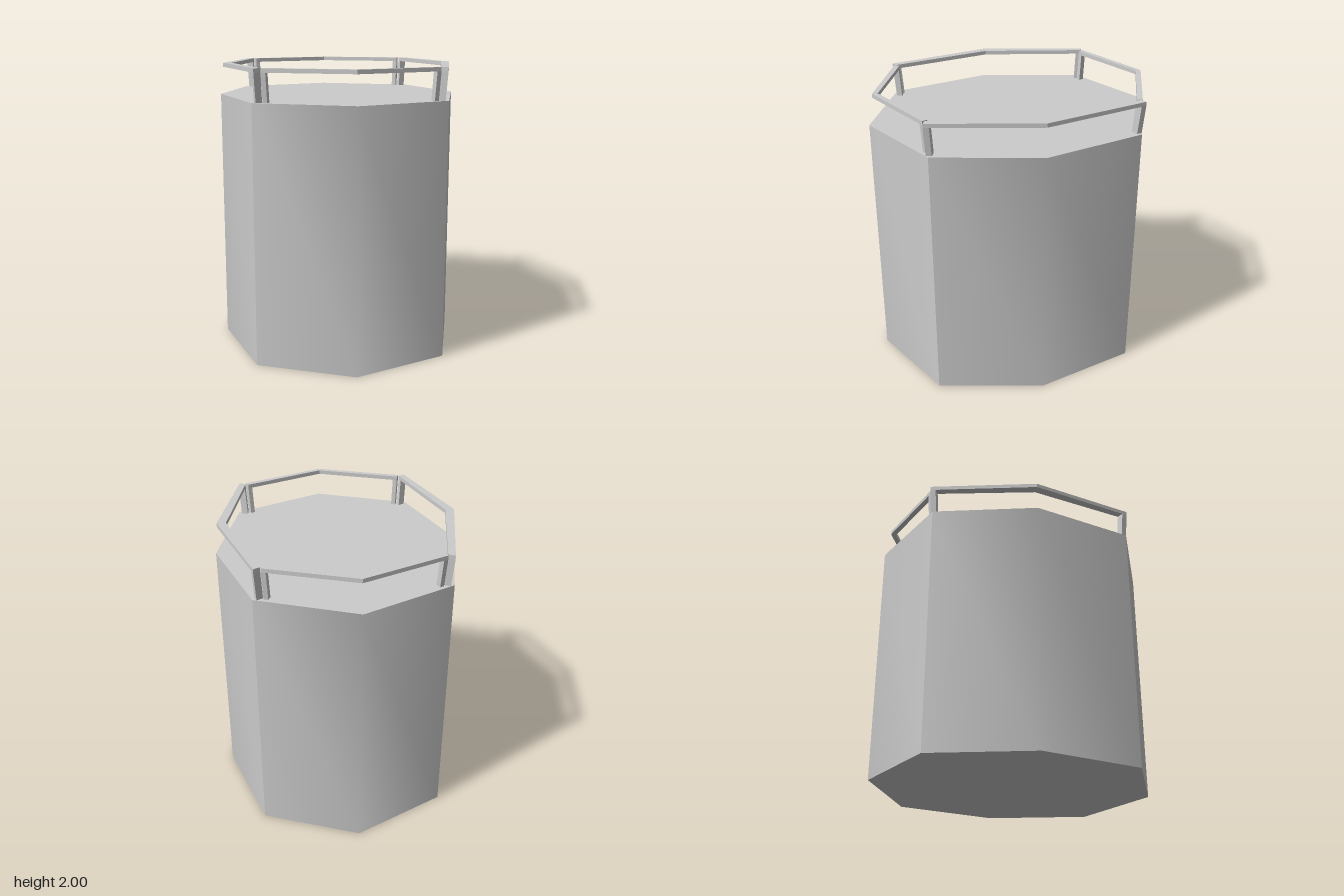
import * as THREE from 'three';
import { toCreasedNormals } from 'three/addons/utils/BufferGeometryUtils.js';

const material = new THREE.MeshStandardMaterial({ color: 0xcccccc });

// Upright prism over a plan outline of [x, z] points; the foot is drawn towards the centre by footScale
function prism(plan, y0, y1, footScale = 1) {
  const shape = new THREE.Shape(plan.map(([x, z]) => new THREE.Vector2(x, -z)));
  const geo = new THREE.ExtrudeGeometry(shape, { depth: y1 - y0, bevelEnabled: false });
  geo.rotateX(-Math.PI / 2).translate(0, y0, 0);
  const p = geo.attributes.position;
  for (let i = 0; i < p.count; i++) {
    if (p.getY(i) < (y0 + y1) / 2) p.setXYZ(i, p.getX(i) * footScale, p.getY(i), p.getZ(i) * footScale);
  }
  geo.computeVertexNormals();
  return geo;
}

function add(parent, name, geo) {
  const mesh = new THREE.Mesh(geo, material);
  mesh.name = name;
  parent.add(mesh);
}

const BODY_TOP = 1.78, RAIL_BOTTOM = 1.972, RAIL_TOP = 2;

// Bent handle: outer and inner edges run from the middle (m) to the end (e); place() maps (along, out) to [x, z]
function makeHandle(name, outerM, outerE, innerM, innerE, place) {
  const group = new THREE.Group();
  group.name = name;
  const at = (m, e, t) => [e[0] * t, m + (e[1] - m) * t];
  const flip = ([a, o]) => [-a, o];
  const rail = [outerE, [0, outerM], flip(outerE), flip(innerE), [0, innerM], innerE];
  add(group, 'rail', prism(rail.map(place), RAIL_BOTTOM, RAIL_TOP));

  // A slightly splayed post under each end
  const t = 0.95;
  const foot = [outerE, at(outerM, outerE, t), at(innerM, innerE, t), innerE];
  add(group, 'postA', prism(foot.map(place), BODY_TOP, RAIL_BOTTOM, 0.982));
  add(group, 'postB', prism(foot.map(flip).map(place), BODY_TOP, RAIL_BOTTOM, 0.982));
  return group;
}

export function createModel() {
  const model = new THREE.Group();
  model.name = 'octagonalContainer';

  // Solid eight-sided body, shaded smoothly across each pair of faces
  const outline = [[0, 1], [0.645, 0.715], [0.845, 0], [0.645, -0.715],
    [0, -1], [-0.645, -0.715], [-0.845, 0], [-0.645, 0.715]];
  add(model, 'body', toCreasedNormals(prism(outline, 0, BODY_TOP), THREE.MathUtils.degToRad(49)));

  // Four handles around the top
  for (const s of [1, -1]) {
    model.add(makeHandle(s > 0 ? 'frontHandle' : 'backHandle',
      0.965, [0.585, 0.73], 0.927, [0.568, 0.695], ([a, o]) => [a, o * s]));
    model.add(makeHandle(s > 0 ? 'leftHandle' : 'rightHandle',
      0.825, [0.737, 0.63], 0.762, [0.715, 0.587], ([a, o]) => [o * s, a]));
  }
  return model;
}
